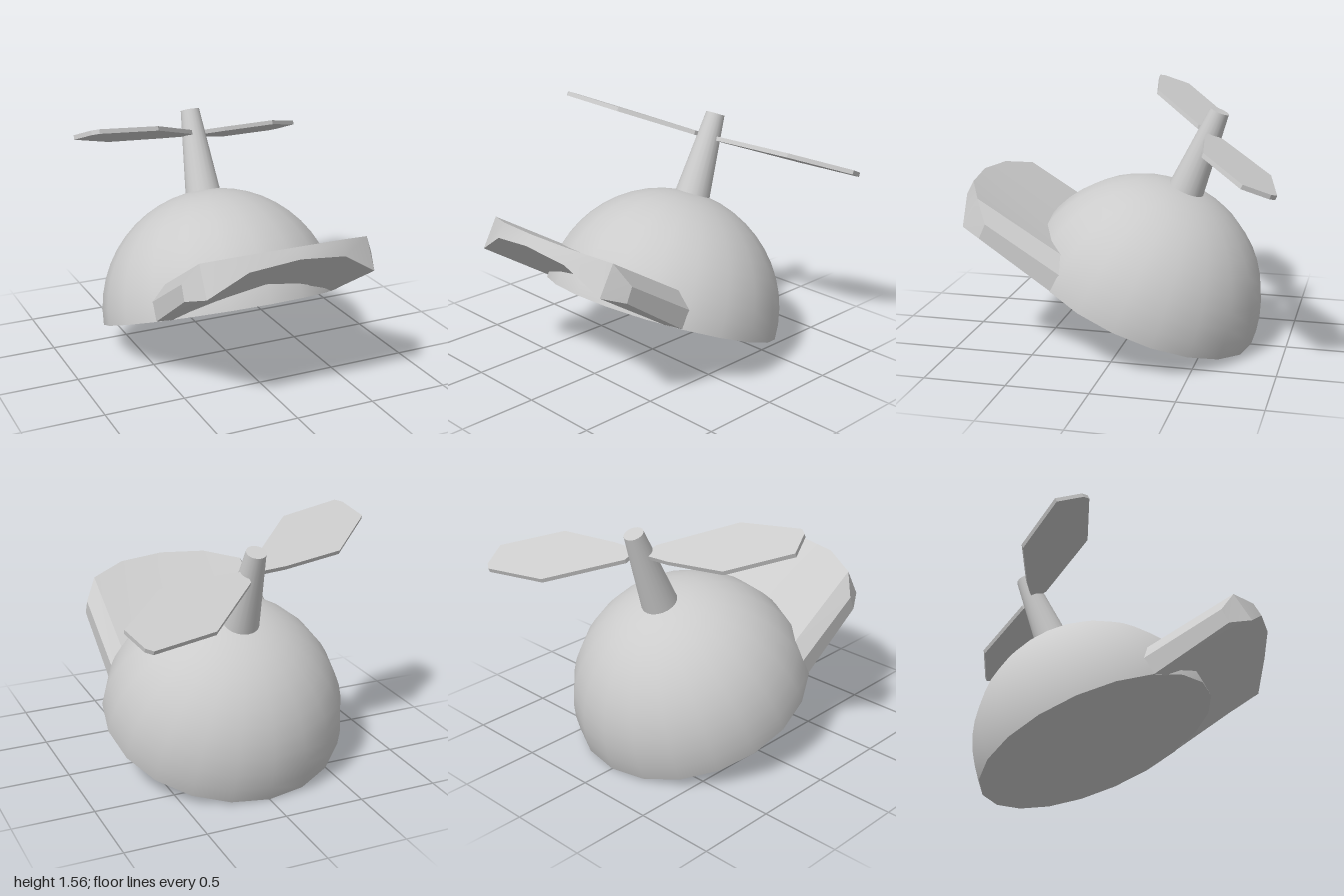
import * as THREE from 'three';
import { toCreasedNormals } from 'three/addons/utils/BufferGeometryUtils.js';

const TILT = THREE.MathUtils.degToRad(-22);
const R = 0.76;
const grey = new THREE.MeshStandardMaterial({ color: 0xcccccc });

function part(name, geometry, parent) {
  const mesh = new THREE.Mesh(geometry, grey);
  mesh.name = name;
  parent.add(mesh);
  return mesh;
}

// Flat propeller blade with a slight upward slope toward the tip
function bladeGeometry() {
  const outline = [[0.04, 0.01], [0.22, 0], [0.6, -0.06], [0.9, -0.345],
    [0.84, -0.505], [0.8, -0.535], [0.405, -0.45], [0.045, -0.09]];
  const shape = new THREE.Shape(outline.map(([x, z]) => new THREE.Vector2(x, -z)));
  const geo = new THREE.ExtrudeGeometry(shape, { depth: 0.027, bevelEnabled: false });
  geo.rotateX(-Math.PI / 2);
  const p = geo.attributes.position;
  for (let i = 0; i < p.count; i++) p.setY(i, p.getY(i) + 1.112 + 0.03 * p.getX(i));
  geo.computeVertexNormals();
  return geo;
}

// Arched visor: each section is [x, then (y, z) of top front, top back, bottom back, bottom front]
function visorGeometry() {
  const half = [
    [0, 1.045, 0.955, 0.72, 0.4, 0.64, 0.52, 0.985, 0.995],
    [0.3, 1.03, 0.92, 0.71, 0.38, 0.585, 0.5, 0.945, 0.965],
    [0.53, 0.98, 0.81, 0.645, 0.26, 0.48, 0.407, 0.8, 0.91],
    [0.608, 0.845, 0.74, 0.56, 0.28, 0.46, 0.345, 0.755, 0.78],
  ];
  const mirrored = half.slice(1).reverse().map(([x, ...rest]) => [-x, ...rest]);
  const sections = [...mirrored, ...half].map((s) =>
    [0, 1, 2, 3].map((k) => [s[0], s[1 + 2 * k], s[2 + 2 * k]]));
  const pos = [];
  const quad = (a, b, c, d) => pos.push(...a, ...b, ...c, ...a, ...c, ...d);
  for (let i = 0; i < sections.length - 1; i++) {
    const s = sections[i], t = sections[i + 1];
    for (let k = 0; k < 4; k++) {
      const n = (k + 1) % 4;
      quad(s[k], t[k], t[n], s[n]);
    }
  }
  quad(...sections[0]);
  quad(...sections[sections.length - 1].slice().reverse());
  const geo = new THREE.BufferGeometry();
  geo.setAttribute('position', new THREE.Float32BufferAttribute(pos, 3));
  return toCreasedNormals(geo, 0.45);
}

export function createModel() {
  const model = new THREE.Group();
  model.name = 'propellerCap';

  // Crown, tipped back so the front rises
  const crown = new THREE.Group();
  crown.name = 'crown';
  crown.position.set(0, 0.288, -0.075);
  crown.rotation.x = TILT;
  model.add(crown);
  part('dome', new THREE.SphereGeometry(R, 20, 12, 0, Math.PI * 2, 0, Math.PI / 2), crown);
  part('underside', new THREE.CircleGeometry(R, 20).rotateX(Math.PI / 2), crown);

  // Tapered stalk
  part('stalk', new THREE.CylinderGeometry(0.06, 0.115, 0.56, 20), crown).position.y = 1.0;

  // Two opposite blades
  const propeller = new THREE.Group();
  propeller.name = 'propeller';
  crown.add(propeller);
  const blade = bladeGeometry();
  for (let i = 0; i < 2; i++) {
    part(i ? 'rightBlade' : 'leftBlade', blade, propeller).rotation.y = i * Math.PI;
  }

  part('visor', visorGeometry(), model);
  return model;
}
